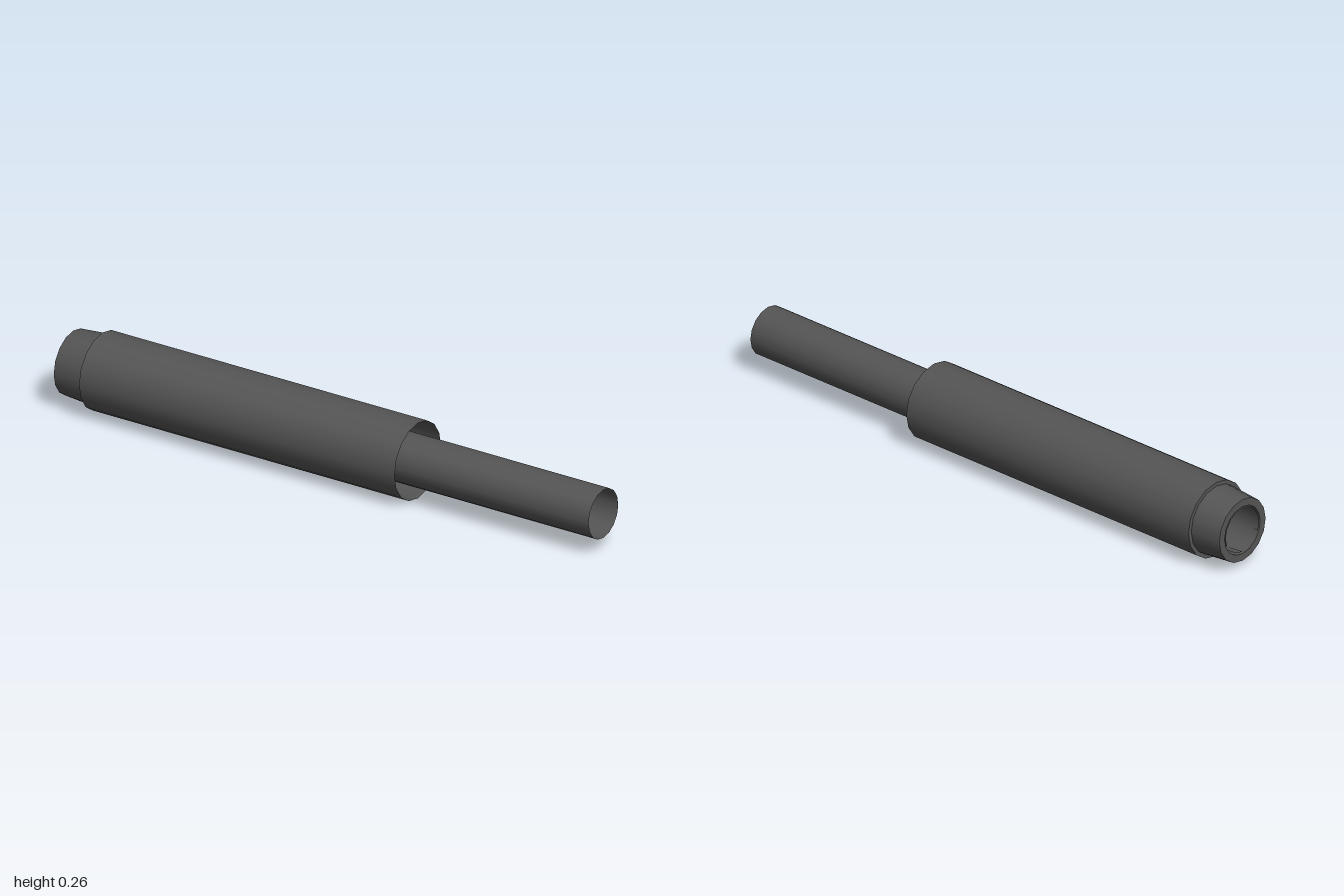
import * as THREE from 'three';

const SIDES = 16;
const AXIS_Y = 0.13;

export function createModel() {
  const model = new THREE.Group();
  model.name = 'steppedTube';

  const metal = new THREE.MeshStandardMaterial({ color: 0x555555, side: THREE.DoubleSide });
  metal.name = 'darkGreyMetal';

  // Open shell along x, from radius r0 at x0 to r1 at x1; steps are 1/16 turns.
  function shell(name, x0, r0, x1, r1, firstStep = 0, steps = SIDES) {
    const step = (Math.PI * 2) / SIDES;
    const geometry = new THREE.CylinderGeometry(r1, r0, x1 - x0, steps, 1, true, firstStep * step, steps * step);
    geometry.rotateZ(-Math.PI / 2);
    const mesh = new THREE.Mesh(geometry, metal);
    mesh.name = name;
    mesh.position.set((x0 + x1) / 2, AXIS_Y, 0);
    model.add(mesh);
  }

  // Flat ring facing -x, with a corner at the top like the shells.
  function ring(name, x, inner, outer) {
    const geometry = new THREE.RingGeometry(inner, outer, SIDES, 1);
    geometry.rotateY(-Math.PI / 2);
    const mesh = new THREE.Mesh(geometry, metal);
    mesh.name = name;
    mesh.position.set(x, AXIS_Y, 0);
    model.add(mesh);
  }

  // Wide sleeve, open at its +x end
  shell('sleeve', -0.89, 0.13, 0.3, 0.13);
  ring('sleeveShoulder', -0.89, 0.117, 0.13);

  // Tapered collar and its end face
  shell('collar', -1, 0.108, -0.89, 0.117);
  ring('collarEnd', -1, 0.083, 0.108);

  // Thin tube running through the whole length
  shell('innerTube', -1, 0.083, 1, 0.083);

  // Partial lips inside the collar bore: upper arc and one bottom facet
  shell('upperBoreLip', -1, 0.078, -0.9, 0.083, 7, 10);
  shell('lowerBoreLip', -1, 0.076, -0.9, 0.083, 4, 1);

  return model;
}
